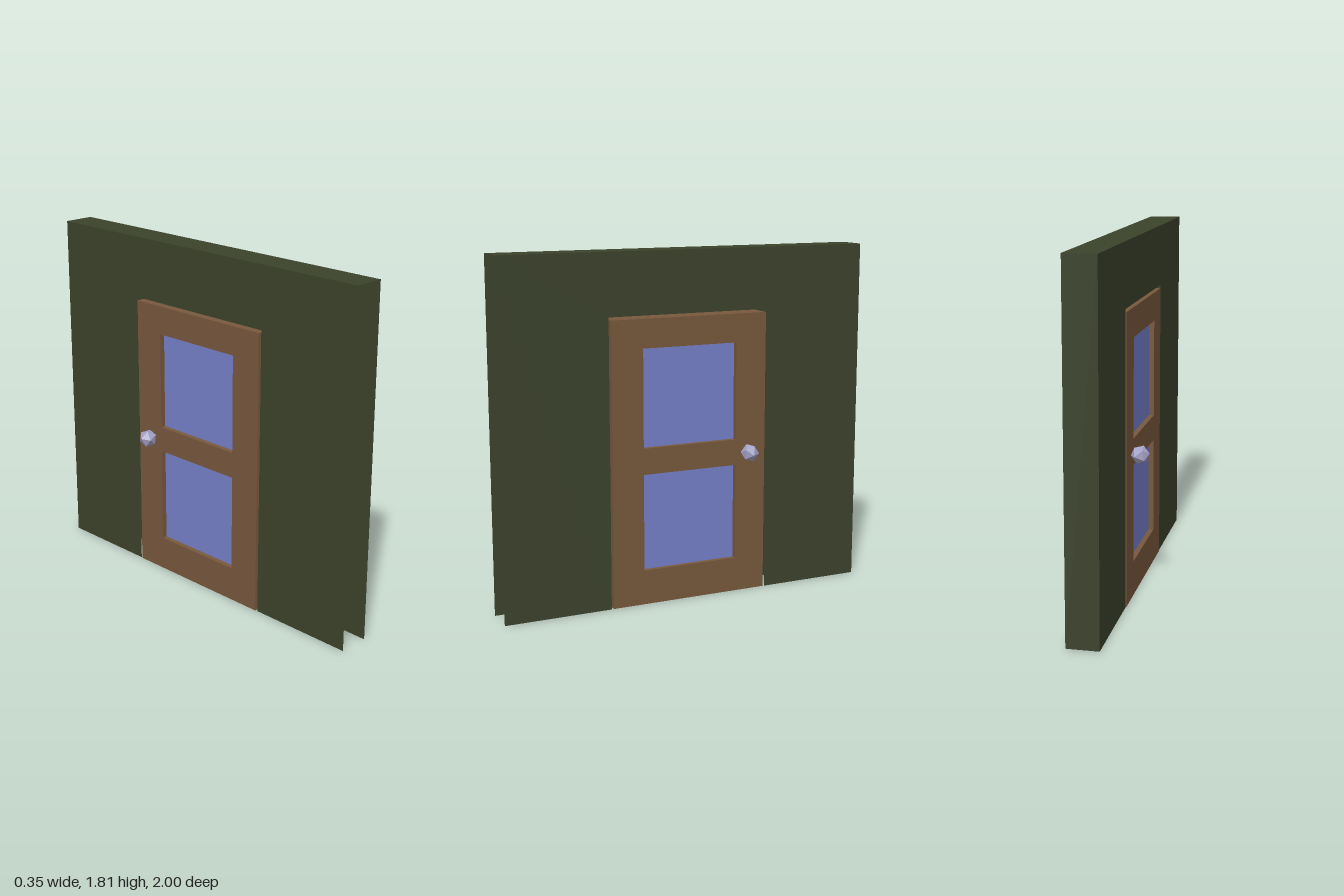
import * as THREE from 'three';

const material = (color, flatShading = false) =>
  new THREE.MeshStandardMaterial({ color, flatShading, side: THREE.DoubleSide });
const green = material(0x3c432c);
const brown = material(0x77583c);
const blue = material(0x7680ca);
const metal = material(0xa3a1c6, true);

// Rectangle corners as [z, y], counter-clockwise from the lower -z corner
const rect = (z0, z1, y0, y1) => [[z0, y0], [z1, y0], [z1, y1], [z0, y1]];

// Flat sheet in the z-y plane facing +x (side 1) or -x (side -1)
function sheet(outline, holes, x, side) {
  const toPoints = (list) => list.map(([z, y]) => new THREE.Vector2(-side * z, y));
  const shape = new THREE.Shape(toPoints(outline));
  for (const hole of holes) shape.holes.push(new THREE.Path(toPoints(hole)));
  return new THREE.ShapeGeometry(shape).rotateY(side * Math.PI / 2).translate(x, 0, 0);
}

// Sweeps a [z, y] polyline straight along x
function strip(path, x0, x1) {
  const v = [];
  for (let i = 0; i < path.length - 1; i++) {
    const [z0, y0] = path[i], [z1, y1] = path[i + 1];
    v.push(x0, y0, z0, x1, y1, z1, x0, y1, z1);
    v.push(x0, y0, z0, x1, y0, z0, x1, y1, z1);
  }
  const geometry = new THREE.BufferGeometry();
  geometry.setAttribute('position', new THREE.Float32BufferAttribute(v, 3));
  geometry.computeVertexNormals();
  return geometry;
}

export function createModel() {
  const model = new THREE.Group();
  const wall = new THREE.Group(), door = new THREE.Group();
  wall.name = 'wall';
  door.name = 'door';
  model.add(wall, door);

  const add = (parent, name, geometry, mat) => {
    const mesh = new THREE.Mesh(geometry, mat);
    mesh.name = name;
    parent.add(mesh);
    return mesh;
  };

  // Hollow wall: two faces around the doorway, open underneath and at the +z end
  const H = 1.81, wx0 = -0.082, wx1 = 0.08;
  const oz0 = -0.449, oz1 = 0.433, oy = 1.492;
  const wallOutline = [[-1, 0], [oz0, 0], [oz0, oy], [oz1, oy], [oz1, 0], [1, 0], [1, H], [-1, H]];
  add(wall, 'wallFaceLeft', sheet(wallOutline, [], wx1, 1), green);
  add(wall, 'wallFaceRight', sheet(wallOutline, [], wx0, -1), green);
  add(wall, 'wallTopAndEnd', strip([[1, H], [-1, H], [-1, 0]], wx0, wx1), green);
  add(wall, 'doorwayLining', strip([[oz0, oy], [oz1, oy], [oz1, 0]], wx0, wx1), green);

  // Hollow door, open underneath
  const dx0 = -0.085, dx1 = 0.079, dz0 = -0.44, dz1 = 0.42, dy = 1.476;
  const recess = 0.027;
  const windows = [rect(-0.27, 0.25, 0.18, 0.685), rect(-0.27, 0.25, 0.82, 1.328)];
  add(door, 'doorEdges', strip([[dz1, 0], [dz1, dy], [dz0, dy], [dz0, 0]], dx0, dx1), brown);

  for (const [side, x] of [[1, dx1], [-1, dx0]]) {
    add(door, 'doorFace', sheet(rect(dz0, dz1, 0, dy), windows, x, side), brown);

    // Recessed panes
    const inner = x - side * recess;
    for (const w of windows) {
      const loop = [...w, w[0]].reverse();
      add(door, 'windowReveal', strip(loop, Math.min(x, inner), Math.max(x, inner)), brown);
      add(door, 'windowPane', sheet(w, [], inner, side), blue);
    }

    // Faceted knob, one corner pointing outwards
    const knobGeometry = new THREE.IcosahedronGeometry(0.048, 0)
      .rotateY(Math.atan(2 / (1 + Math.sqrt(5)))).rotateZ(-0.15);
    add(door, 'doorKnob', knobGeometry, metal).position.set(side * 0.13, 0.755, -0.327);
  }

  return model;
}
